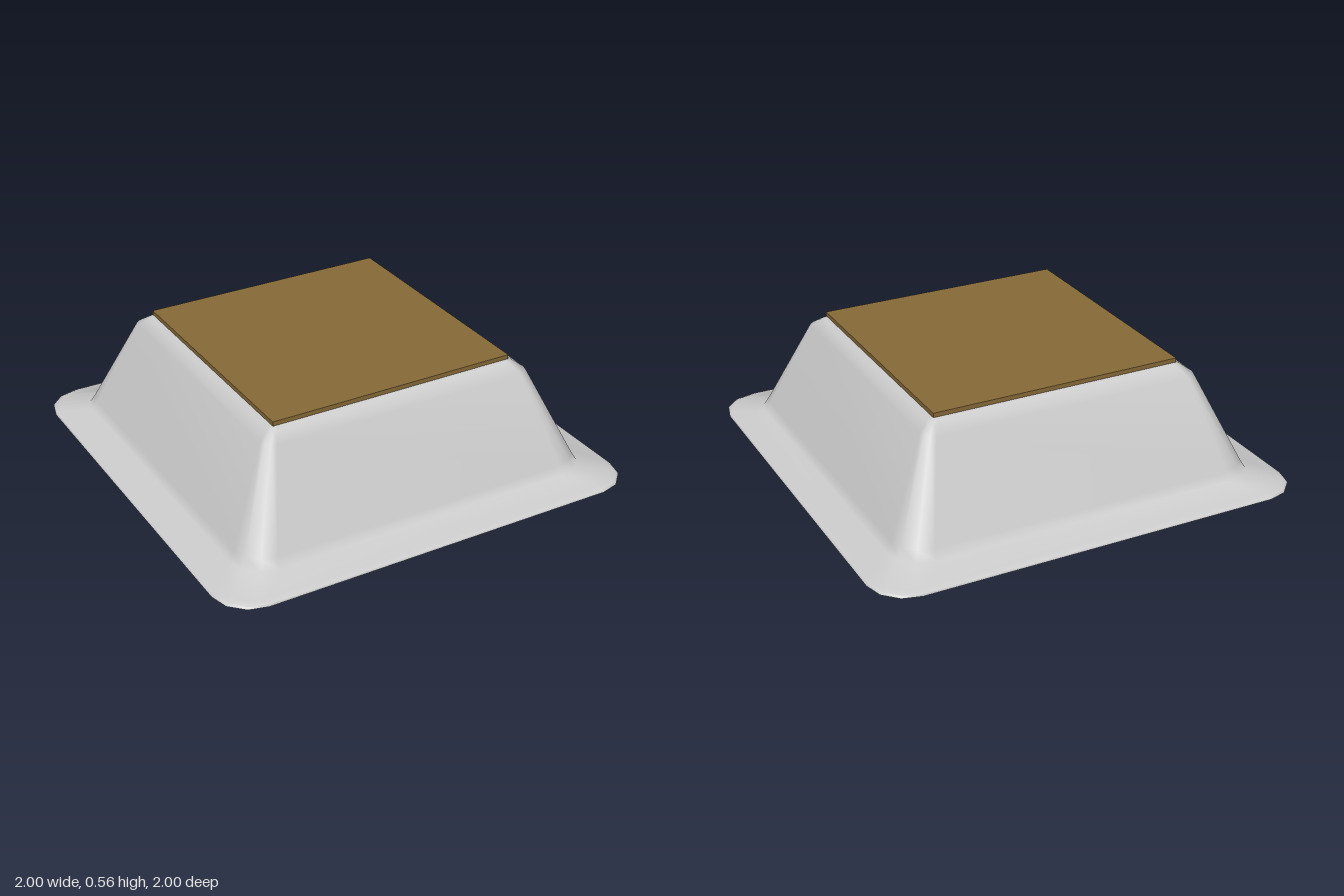
import * as THREE from 'three';

const CORNER = 4; // points per rounded corner

// Rounded square outline: half-size h, corner radius r
function ring(h, y, r) {
  const pts = [];
  for (let q = 0; q < 4; q++) {
    const mid = (q + 0.5) * Math.PI / 2;
    const cx = Math.sign(Math.cos(mid)) * (h - r);
    const cz = Math.sign(Math.sin(mid)) * (h - r);
    for (let k = 0; k < CORNER; k++) {
      const a = (q + k / (CORNER - 1)) * Math.PI / 2;
      pts.push(cx + r * Math.cos(a), y, cz + r * Math.sin(a));
    }
  }
  return pts;
}

// Skin a list of [halfSize, y, radius] sections with smooth normals
function loft(sections) {
  const n = CORNER * 4;
  const pos = sections.flatMap(s => ring(...s));
  const index = [];
  for (let i = 0; i < sections.length - 1; i++) {
    for (let j = 0; j < n; j++) {
      const a = i * n + j, b = i * n + (j + 1) % n;
      index.push(a, b, a + n, b, b + n, a + n);
    }
  }
  const geo = new THREE.BufferGeometry();
  geo.setAttribute('position', new THREE.Float32BufferAttribute(pos, 3));
  geo.setIndex(index);
  geo.computeVertexNormals();
  return geo;
}

export function createModel() {
  const model = new THREE.Group();
  const cloth = new THREE.MeshStandardMaterial({ color: 0xcccccc, side: THREE.DoubleSide });
  const wood = new THREE.MeshStandardMaterial({ color: 0x886a38 });
  const woodShell = new THREE.MeshStandardMaterial({ color: 0x886a38, side: THREE.DoubleSide });

  const add = (name, geo, mat, x = 0, y = 0, z = 0) => {
    const mesh = new THREE.Mesh(geo, mat);
    mesh.name = name;
    mesh.position.set(x, y, z);
    model.add(mesh);
  };

  // Quilt: outer drape from the table edge down to the flared hem
  add('quiltOuter', loft([
    [0.57, 0.55, 0.02], [0.6, 0.535, 0.03], [0.65, 0.5, 0.05],
    [0.835, 0.1, 0.13], [0.86, 0.06, 0.15], [0.975, 0.03, 0.16], [0.995, 0.02, 0.17],
  ]), cloth);

  // Hem: thin outer edge
  add('quiltHemEdge', loft([[0.995, 0.02, 0.17], [1, 0.016, 0.17], [1, 0.01, 0.17]]), cloth);

  // Flat hem underside, running into the padded lining up to the table frame
  add('quiltLining', loft([
    [1, 0.01, 0.17], [0.86, 0.01, 0.13], [0.83, 0.04, 0.12], [0.62, 0.26, 0.03],
  ]), cloth);

  // Dished underside of the table
  add('tableUnderside', loft([
    [0.62, 0.26, 0.03], [0.545, 0.35, 0.03], [0.001, 0.355, 0.001],
  ]), woodShell);

  // Tabletop board
  add('tabletop', new THREE.BoxGeometry(1.16, 0.02, 1.16), wood, 0, 0.555, 0);

  // Four legs
  const leg = new THREE.BoxGeometry(0.07, 0.48, 0.07);
  for (const x of [-0.58, 0.58]) {
    for (const z of [-0.58, 0.58]) add('leg', leg, wood, x, 0.24, z);
  }
  return model;
}
